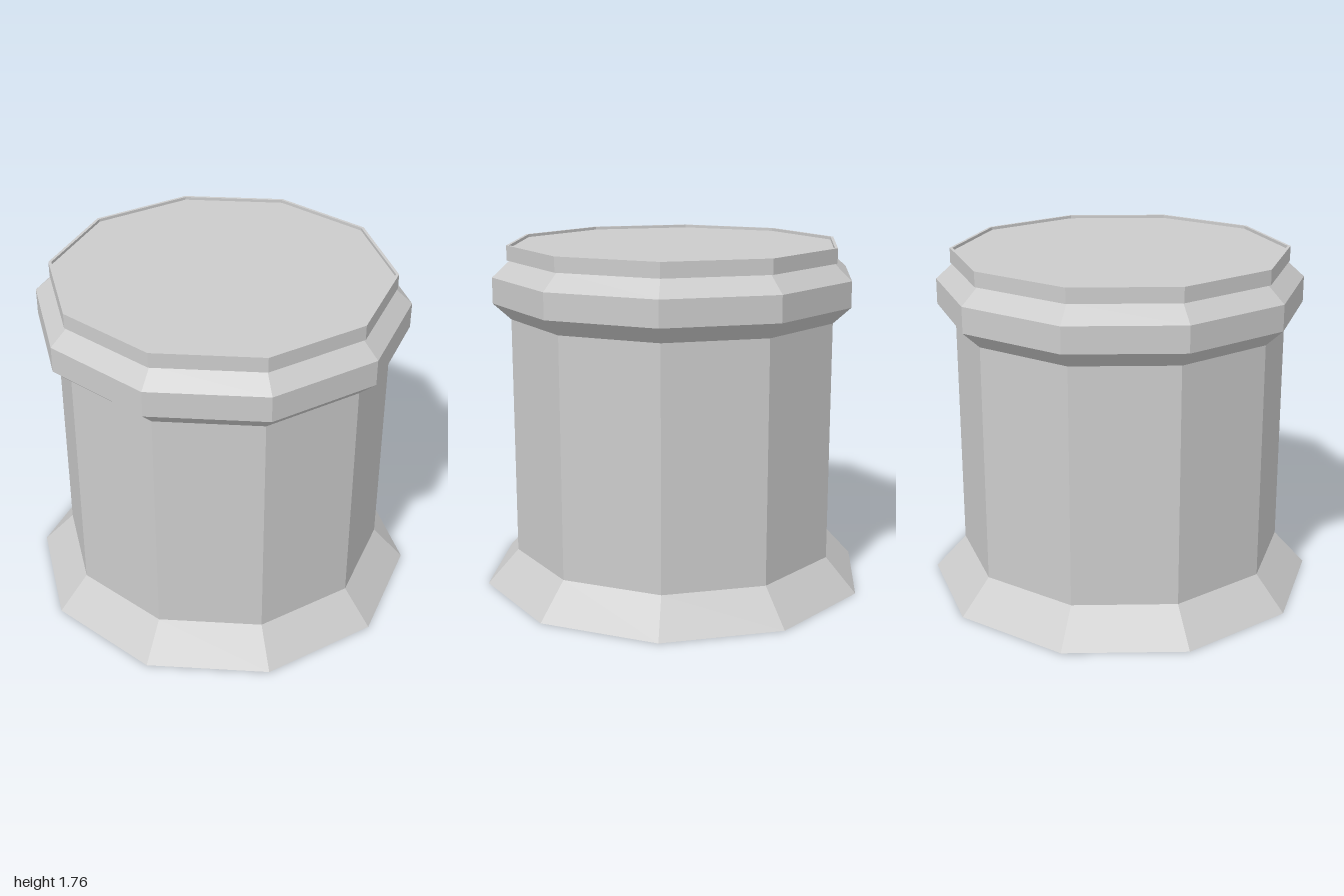
import * as THREE from 'three';

const SIDES = 10;

// Ten-sided turned part; profile is [radius, height] running bottom to top on the outside.
function turned(name, profile, material) {
  const points = profile.map(([r, y]) => new THREE.Vector2(r, y));
  const mesh = new THREE.Mesh(new THREE.LatheGeometry(points, SIDES, Math.PI / 2), material);
  mesh.name = name;
  return mesh;
}

export function createModel() {
  const group = new THREE.Group();
  group.name = 'pedestal';
  const stone = new THREE.MeshStandardMaterial({ color: 0xcccccc, flatShading: true });

  group.add(
    // flared foot with closed underside
    turned('foot', [[0, 0], [1, 0], [0.84, 0.175]], stone),
    // straight column
    turned('shaft', [[0.84, 0.175], [0.84, 1.39]], stone),
    // bevelled collar
    turned('collar', [[0.84, 1.39], [0.93, 1.473], [0.93, 1.603], [0.84, 1.685]], stone),
    // slightly overhanging cap with a thin rim around a shallow sunken top
    turned('cap', [[0.84, 1.685], [0.855, 1.685], [0.855, 1.76], [0.84, 1.76], [0.84, 1.745], [0, 1.745]], stone),
  );
  return group;
}
